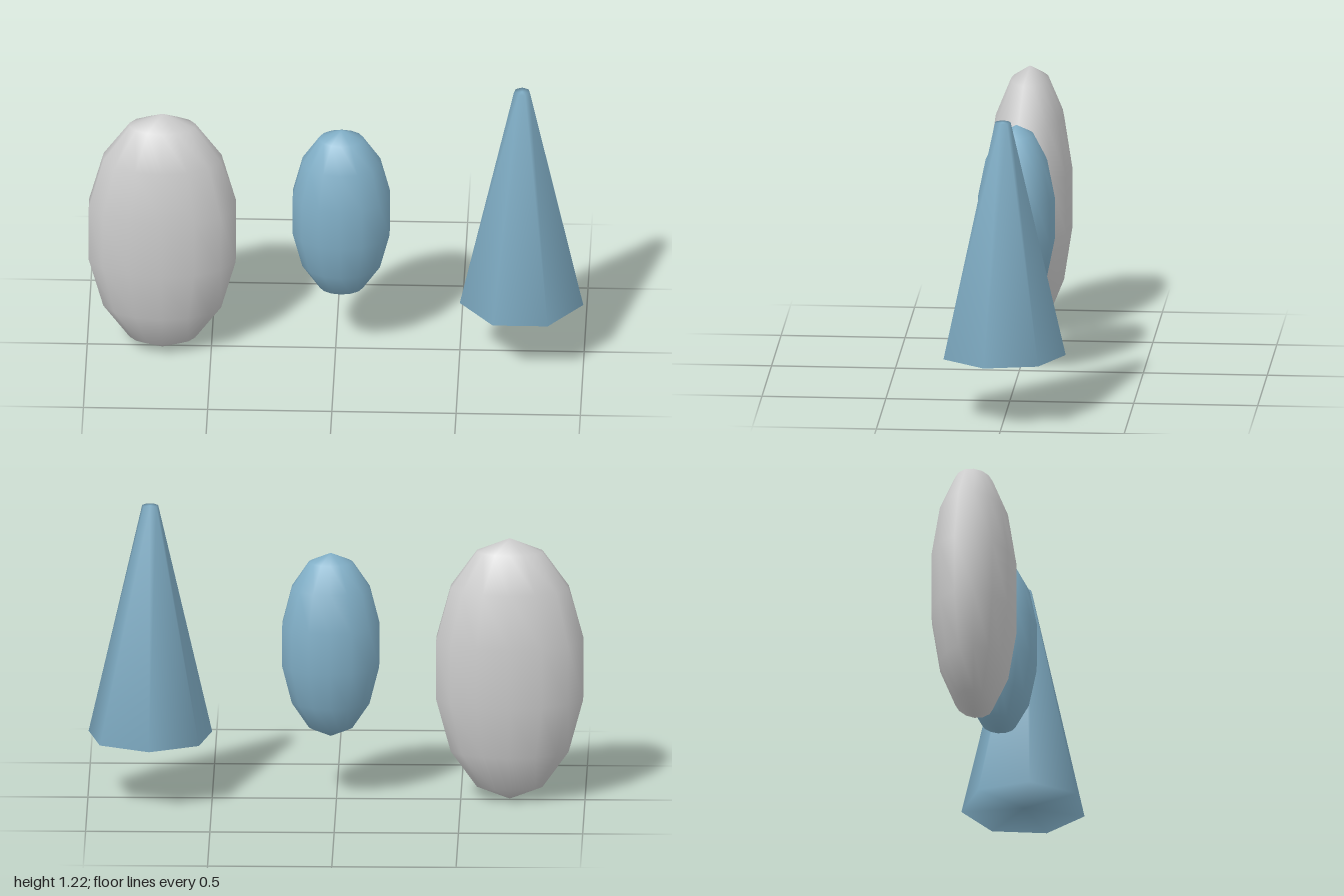
import * as THREE from 'three';
import { mergeVertices } from 'three/addons/utils/BufferGeometryUtils.js';

const grey = new THREE.MeshStandardMaterial({ color: 0xcccccc });
const blue = new THREE.MeshStandardMaterial({ color: 0x81afc7, side: THREE.DoubleSide });

// Low-poly ellipsoid: 14 sides, 7 bands, with a vertex column on the z axis
function ellipsoid(name, material, radii, centre) {
  const geometry = new THREE.SphereGeometry(1, 14, 7, Math.PI / 2);
  geometry.scale(...radii);
  const mesh = new THREE.Mesh(geometry, material);
  mesh.name = name;
  mesh.position.set(...centre);
  return mesh;
}

// Closed seven-sided cone with normals smoothed over the caps
function taperedCone(name, material, topRadius, baseRadius, height, base) {
  let geometry = new THREE.CylinderGeometry(topRadius, baseRadius, height, 7, 1, false, Math.PI);
  geometry.deleteAttribute('uv');
  geometry.deleteAttribute('normal');
  geometry = mergeVertices(geometry);
  geometry.computeVertexNormals();
  geometry.translate(0, height / 2, 0);
  const mesh = new THREE.Mesh(geometry, material);
  mesh.name = name;
  mesh.position.set(...base);
  return mesh;
}

export function createModel() {
  const group = new THREE.Group();
  group.name = 'threeSolids';
  group.add(
    ellipsoid('largeEllipsoid', grey, [0.311, 0.545, 0.176], [-0.697, 0.546, 0.011].map((v) => v)),
    ellipsoid('smallEllipsoid', blue, [0.205, 0.383, 0.159], [0.023, 0.643, 0.01]),
    taperedCone('taperedCone', blue, 0.033, 0.255, 0.96, [0.75, 0.26, 0.01])
  );
  // Larger ellipsoid is widened so its flat-sided ends reach the full width
  group.children[0].scale.x = 1.0;
  return group;
}
